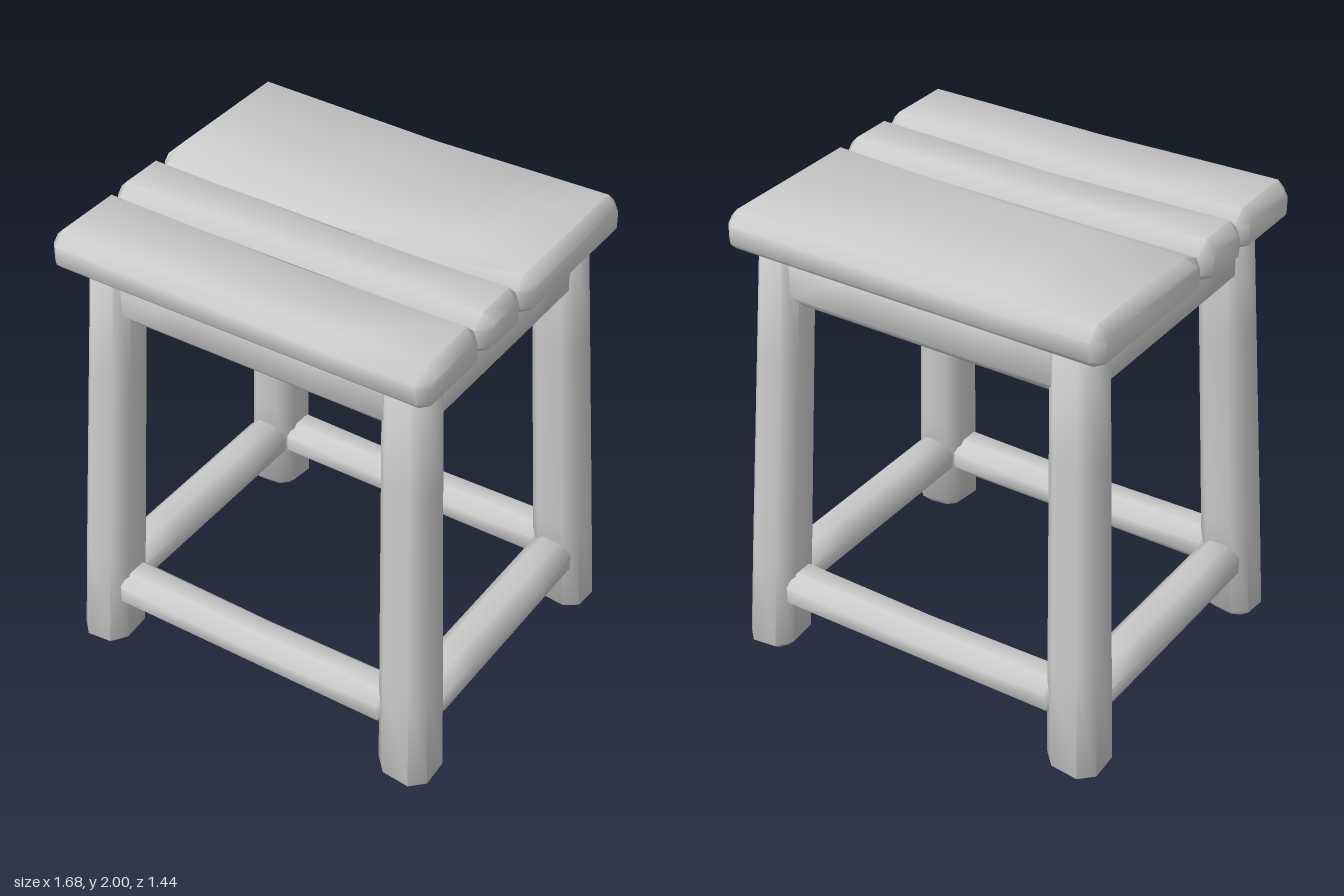
import * as THREE from 'three';
import { toCreasedNormals } from 'three/addons/utils/BufferGeometryUtils.js';

const material = new THREE.MeshStandardMaterial({ color: 0xcccccc });

// Hewn beam along z with chamfered edges (top, bottom) and chamfered ends.
function beam(width, height, length, cutTop, cutBottom, endCut) {
  const w = width / 2, h = height / 2, t = cutTop, b = cutBottom;
  const outline = [
    [w, -h + b], [w, h - t], [w - t, h], [-w + t, h],
    [-w, h - t], [-w, -h + b], [-w + b, -h], [w - b, -h],
  ].map(([x, y]) => new THREE.Vector2(x, y));
  const geometry = new THREE.ExtrudeGeometry(new THREE.Shape(outline), {
    depth: length - 2 * endCut, steps: 4, bevelEnabled: true, bevelSegments: 1,
    bevelThickness: endCut, bevelSize: endCut, bevelOffset: -endCut,
  });
  geometry.translate(0, 0, -(length - 2 * endCut) / 2);
  return geometry;
}

// Move every vertex by a rule, then smooth across the chamfers.
function shaped(geometry, rule) {
  const position = geometry.attributes.position;
  const v = new THREE.Vector3();
  for (let i = 0; i < position.count; i++) {
    v.fromBufferAttribute(position, i);
    rule(v);
    position.setXYZ(i, v.x, v.y, v.z);
  }
  return toCreasedNormals(geometry, 1.0);
}

export function createModel() {
  const group = new THREE.Group();
  const add = (name, geometry, x = 0, y = 0, z = 0) => {
    const mesh = new THREE.Mesh(geometry, material);
    mesh.name = name;
    mesh.position.set(x, y, z);
    group.add(mesh);
  };

  // Seat planks, slightly hollowed along the middle and worn on some edges
  const seatHeight = 0.155;
  const plank = (name, zMin, zMax, xMin, xMax, wear) => {
    const length = xMax - xMin, depth = zMax - zMin;
    const geometry = beam(depth, seatHeight, length, 0.05, 0.03, 0.04).rotateY(Math.PI / 2);
    shaped;
    add(name, shaped(geometry, (v) => {
      const top = v.y > seatHeight / 2 - 0.002;
      // lower end corners stay nearly square
      if (Math.abs(v.x) > length / 2 - 0.005 && v.y < 0) v.y -= 0.025;
      if (top) {
        if (v.z > 0) v.z -= wear(v.x / length + 0.5);
        v.y -= 0.016 * Math.max(0, 1 - Math.abs(v.x) / (length * 0.45));
      }
    }), (xMin + xMax) / 2, 2 - seatHeight / 2, (zMin + zMax) / 2);
  };
  plank('backSeatPlank', -0.705, 0.03, -0.83, 0.81, (t) => 0.06 * (1 - t));
  plank('middleSeatPlank', 0.037, 0.318, -0.835, 0.81, () => 0);
  plank('frontSeatPlank', 0.325, 0.715, -0.825, 0.81, (t) => 0.05 * Math.max(0, t - 0.5));

  // Splayed legs, thicker towards the foot, with a foot that dips outwards
  const legTop = 1.87, legBottom = 0.012;
  for (const sx of [-1, 1]) {
    for (const sz of [-1, 1]) {
      const geometry = beam(0.225, 0.225, legTop - legBottom, 0.055, 0.055, 0.04).rotateX(Math.PI / 2);
      const leg = shaped(geometry, (v) => {
        const t = (v.y + (legTop - legBottom) / 2) / (legTop - legBottom);
        const scale = 1 - 0.15 * t;
        if (t < 0.1) v.y -= 0.12 * (v.x * sx + v.z * sz);
        v.x = v.x * scale + sx * (0.732 - 0.087 * t);
        v.z = v.z * scale + sz * (0.612 - 0.087 * t);
        v.y += (legTop + legBottom) / 2;
      });
      add(`${sz > 0 ? 'front' : 'back'}${sx > 0 ? 'Left' : 'Right'}Leg`, leg);
    }
  }

  // Aprons under the seat and stretchers near the floor, centred on the legs
  const sag = (length, depth) => (v) => {
    if (v.y > 0) v.y -= depth * Math.max(0, 1 - Math.abs(v.z) / (length / 2));
  };
  const frame = (name, y, height, depth, cut, x, z, overhang, dip) => {
    for (const s of [-1, 1]) {
      const lengthX = 2 * (x - overhang), lengthZ = 2 * (z - overhang);
      const along = shaped(beam(depth, height, lengthX, cut, cut, 0.035), sag(lengthX, dip));
      add(`${s > 0 ? 'front' : 'back'}${name}`, along.rotateY(Math.PI / 2), 0, y, s * z);
      const across = shaped(beam(depth, height, lengthZ, cut, cut, 0.035), sag(lengthZ, 0));
      add(`${s > 0 ? 'left' : 'right'}${name}`, across, s * x, y, 0);
    }
  };
  frame('Apron', 1.74, 0.26, 0.165, 0.055, 0.65, 0.53, 0.04, 0);
  frame('Stretcher', 0.307, 0.172, 0.185, 0.052, 0.718, 0.598, 0.065, 0.012);

  return group;
}
